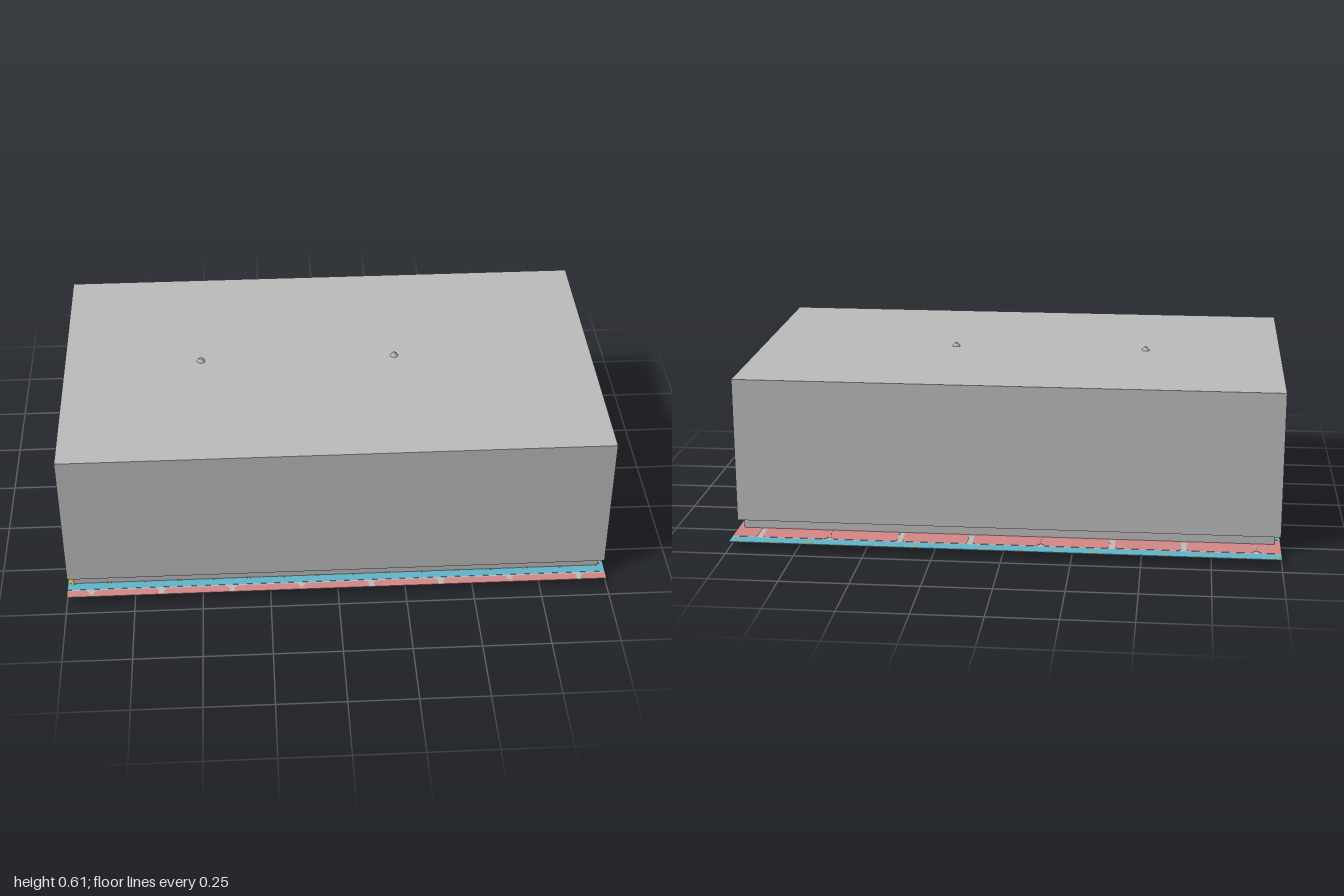
import * as THREE from 'three';

const mat = (name, color, side = THREE.FrontSide) => {
  const m = new THREE.MeshStandardMaterial({ color, side });
  m.name = name;
  return m;
};

export function createModel() {
  const grey = mat('grey', 0xbcbcbc);
  const red = mat('soft red', 0xd48888);
  const blue = mat('soft blue', 0x62b6cb);
  const yellow = mat('ochre yellow', 0xd0a63a);

  const model = new THREE.Group();
  const add = (parent, name, geometry, material, x = 0, y = 0, z = 0) => {
    const mesh = new THREE.Mesh(geometry, material);
    mesh.name = name;
    mesh.position.set(x, y, z);
    parent.add(mesh);
    return mesh;
  };
  // Box given by its limits
  const slab = (parent, name, material, x0, x1, y0, y1, z0, z1) =>
    add(parent, name, new THREE.BoxGeometry(x1 - x0, y1 - y0, z1 - z0), material,
      (x0 + x1) / 2, (y0 + y1) / 2, (z0 + z1) / 2);

  // Main body
  slab(model, 'body', grey, -1, 1, 0.06, 0.6, -0.555, 0.63);

  // Open frame below the body, passing through the floor sheet
  const frame = new THREE.Group();
  frame.name = 'baseFrame';
  model.add(frame);
  const fx = 0.972, t = 0.012;
  slab(frame, 'frameFront', grey, -fx, fx, 0.01, 0.06, 0.615 - t, 0.615);
  slab(frame, 'frameBack', grey, -fx, fx, 0.01, 0.06, -0.54, -0.54 + t);
  for (const s of [-1, 1]) {
    slab(frame, 'frameSide', grey, s * fx - t / 2, s * fx + t / 2, 0.01, 0.06, -0.54, 0.615);
  }

  // Side plate with sloping ends
  const plate = new THREE.Shape();
  plate.moveTo(-0.26, 0);
  plate.lineTo(0.03, 0);
  plate.lineTo(0.03, 0.005);
  plate.lineTo(0, 0.03);
  plate.lineTo(-0.235, 0.03);
  plate.lineTo(-0.26, 0.005);
  const plateGeo = new THREE.ExtrudeGeometry(plate, { depth: 0.02, bevelEnabled: false });
  plateGeo.rotateY(Math.PI / 2);
  add(model, 'sidePlate', plateGeo, grey, 0.97);

  // Two small studs on the top
  for (const x of [-0.485, 0.25]) {
    add(model, 'topStud', new THREE.CylinderGeometry(0.006, 0.016, 0.014, 12), grey, x, 0.606, 0.02);
  }

  // Patterned floor sheet
  const sheet = new THREE.Group();
  sheet.name = 'floorSheet';
  sheet.position.y = 0.025;
  model.add(sheet);
  const zMin = -0.695, zMax = 0.69, pitch = 0.2585;
  slab(sheet, 'sheetBase', grey, -1, 1, -0.0005, 0.0005, zMin, zMax);

  const gapX = i => -0.91 + pitch * i;
  const gapHalf = i => (i % 3 === 0 ? 0.001 : 0.01);
  const flare = i => (i % 3 === 0 ? 0.017 : 0.008);

  // Red tile between gaps i and i + 1, with cut corners
  const tile = (i, z0, z1, cutEnd) => {
    const open0 = i < 0, open1 = i > 6;
    const x0 = open0 ? -1 : gapX(i) + gapHalf(i);
    const x1 = open1 ? 1 : gapX(i + 1) - gapHalf(i + 1);
    const c0 = open0 ? 0 : flare(i), c1 = open1 ? 0 : flare(i + 1);
    const pts = [[x0 + c0, z0], [x1 - c1, z0], [x1, z0 + c1 * 1.4]];
    if (cutEnd) pts.push([x1, z1 - c1 * 1.4], [x1 - c1, z1], [x0 + c0, z1], [x0, z1 - c0 * 1.4]);
    else pts.push([x1, z1], [x0, z1]);
    pts.push([x0, z0 + c0 * 1.4]);
    const shape = new THREE.Shape(pts.map(p => new THREE.Vector2(...p)));
    const g = new THREE.ExtrudeGeometry(shape, { depth: 0.003, bevelEnabled: false });
    g.rotateX(Math.PI / 2);
    add(sheet, 'redTile', g, red, 0, 0.0015, 0);
  };

  for (let k = 0; k < 6; k++) {
    const z = -0.697 + pitch * k;
    // Blue stripe with its row of dots
    slab(sheet, 'blueStripe', blue, -1, 1, -0.0015, 0.0015, Math.max(zMin, z - 0.055), z + 0.055);
    for (let i = -1; i < 15; i++) {
      const x = gapX(0) + pitch * (i / 2 + 0.25);
      if (Math.abs(x) > 0.975) continue;
      const geo = k === 0
        ? new THREE.CylinderGeometry(0.024, 0.024, 0.005, 8, 1, false, -Math.PI / 2, Math.PI)
        : new THREE.CylinderGeometry(0.024, 0.024, 0.005, 12);
      if (k === 0) geo.scale(1, 1, 0.3);
      add(sheet, 'yellowDot', geo, yellow, x, 0, k === 0 ? zMin : z);
    }
    // Row of red tiles
    const z0 = z + 0.062, z1 = z + pitch - 0.062;
    for (let i = -1; i <= 7; i++) tile(i, z0, Math.min(z1, zMax), z1 < zMax);
  }
  return model;
}
